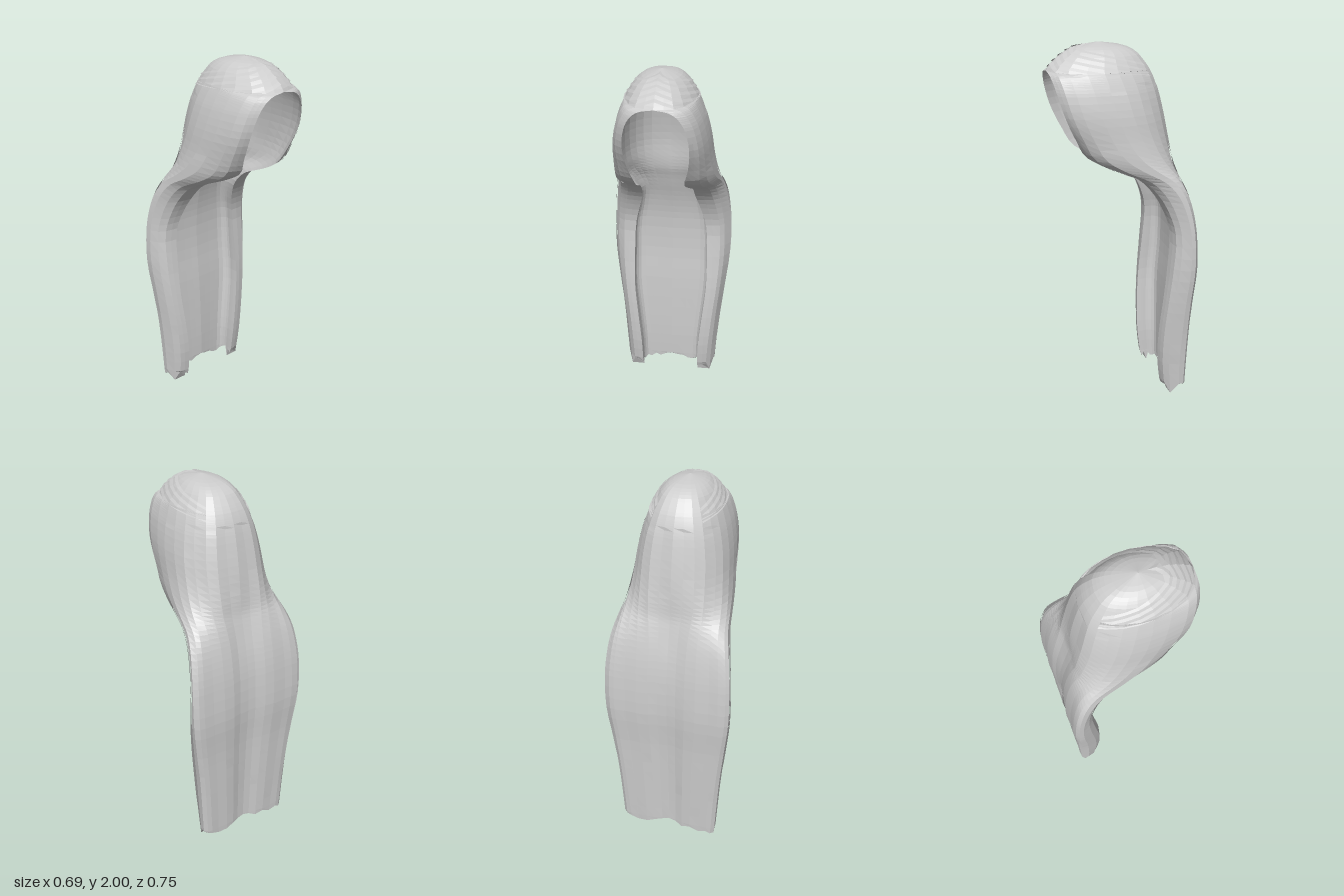
import * as THREE from 'three';

// Levels, bottom to top: y, half width, back z, front z, rim half width, hoodness
const LEVELS = [
  [0.0, 0.272, -0.345, -0.225, 0.17, 0],
  [0.2, 0.285, -0.35, -0.2, 0.175, 0],
  [0.4, 0.3, -0.355, -0.2, 0.195, 0],
  [0.6, 0.322, -0.36, -0.215, 0.215, 0],
  [0.8, 0.345, -0.37, -0.235, 0.215, 0],
  [1.0, 0.345, -0.36, -0.245, 0.205, 0],
  [1.12, 0.335, -0.345, -0.21, 0.175, 0.05],
  [1.22, 0.32, -0.325, -0.15, 0.15, 0.15],
  [1.3, 0.3, -0.305, -0.06, 0.145, 0.4],
  [1.36, 0.286, -0.29, 0.08, 0.14, 0.65],
  [1.42, 0.275, -0.28, 0.19, 0.13, 0.8],
  [1.52, 0.26, -0.26, 0.255, 0.155, 0.95],
  [1.65, 0.246, -0.235, 0.315, 0.168, 1],
  [1.76, 0.223, -0.211, 0.348, 0.15, 1],
  [1.81, 0.206, -0.196, 0.36, 0.125, 1],
  [1.84, 0.194, -0.184, 0.367, 0.095, 1],
  [1.857, 0.186, -0.176, 0.37, 0.055, 1],
  [1.865, 0.182, -0.172, 0.37, 0, 1],
  [1.91, 0.156, -0.14, 0.33, 0, 1],
  [1.95, 0.125, -0.1, 0.275, 0, 1],
  [1.98, 0.08, -0.03, 0.21, 0, 1],
  [2.0, 0.003, 0.09, 0.094, 0, 1],
];
const HALF = 12, N = HALF * 4, STEPS = 3;

function hash(i) {
  const s = Math.sin(i * 127.1 + 3.7) * 43758.5453;
  return s - Math.floor(s);
}

// Points of a half section from the back centre line to the front rim
function halfCurve(points, y) {
  return new THREE.CatmullRomCurve3(points.map(([x, z]) => new THREE.Vector3(x, y, z)))
    .getPoints(HALF);
}

// Closed ring: outer side from rim to rim round the back, then the inner side
function ring(y, [w, b, f, r, h]) {
  w = Math.max(w, 0.003);
  r = Math.max(r, 0);
  h = THREE.MathUtils.clamp(h, 0, 1);
  const d = f - b, mix = (lock, hood) => lock + (hood - lock) * h;
  const Z = (k) => b + k * d;
  // Square-cornered, hollow-backed locks below; a round hood above
  const outer = halfCurve([[0, Z(mix(0.16, 0))], [w * mix(0.35, 0.55), Z(mix(0.02, 0.04))],
    [w * mix(0.8, 0.9), Z(mix(0, 0.24))], [w * mix(0.99, 1), Z(mix(0.14, 0.55))],
    [r + 0.6 * (w - r), Z(mix(0.88, 0.92))], [r, Z(1)]], y);
  const inner = halfCurve([[0, Z(mix(0.34, 0.05))], [mix(r * 0.5, w * 0.48), Z(mix(0.3, 0.09))],
    [mix(r * 0.88, w * 0.8), Z(mix(0.32, 0.27))], [mix(r, w * 0.9), Z(0.55)],
    [mix(r, r + 0.5 * (w - r)), Z(mix(0.8, 0.89))], [r, Z(1)]], y);
  // Shallow strand ridges on the outside
  outer.forEach((p, i) => {
    if (i % 3 === 1 && i < 8 && y < 1.8) p.z += 0.005;
  });
  // Inner ceiling sits below the crown
  const drop = 0.015 * THREE.MathUtils.smoothstep(y, 1.86, 1.95);
  inner.slice(0, HALF).forEach((p) => { p.y -= drop; });
  const flip = (p) => new THREE.Vector3(-p.x, p.y, p.z);
  return [
    ...outer.slice(1).reverse().map(flip), ...outer,
    ...inner.slice(0, HALF).reverse(), ...inner.slice(1, HALF).map(flip),
  ];
}

function buildRings() {
  const ys = LEVELS.map((l) => l[0]);
  const spline = new THREE.CubicInterpolant(ys, LEVELS.flatMap((l) => l.slice(1)), 5, new Float32Array(5));
  const rings = [];
  for (let k = 0; k < ys.length - 1; k++) {
    for (let s = 0; s < STEPS; s++) {
      const y = THREE.MathUtils.lerp(ys[k], ys[k + 1], s / STEPS);
      rings.push(ring(y, Array.from(spline.evaluate(y))));
    }
  }
  rings.push(ring(2, LEVELS[LEVELS.length - 1].slice(1)));
  // Ragged bottom ends, with one long wisp on each side
  rings[0].forEach((p, i) => {
    p.y = 0.025 + hash(i <= N / 2 ? i : N - i) * 0.04;
  });
  for (const i of [3, N / 2 - 3]) rings[0][i].y = rings[0][N - i].y = 0;
  return rings;
}

function meshFrom(name, points, index, material) {
  const geometry = new THREE.BufferGeometry().setFromPoints(points);
  geometry.setIndex(index);
  geometry.computeVertexNormals();
  const mesh = new THREE.Mesh(geometry, material);
  mesh.name = name;
  return mesh;
}

// Thin ribbon through pairs of edge points
function ribbon(name, pairs, material) {
  const faces = [];
  for (let k = 0; k < pairs.length * 2 - 2; k += 2) faces.push(k, k + 2, k + 3, k, k + 3, k + 1);
  return meshFrom(name, pairs.flat(), faces, material);
}

export function createModel() {
  const group = new THREE.Group();
  group.name = 'longHair';
  const hairGrey = new THREE.MeshStandardMaterial({
    name: 'hairGrey', color: 0xcccccc, flatShading: true, side: THREE.DoubleSide,
  });
  const rings = buildRings();

  // Main body of hair: outer shell, inner shell and closed ends
  const index = [];
  for (let j = 0; j < rings.length - 1; j++) {
    for (let i = 0; i < N; i++) {
      const a = j * N + i, b = j * N + (i + 1) % N;
      index.push(a, a + N, b + N, a, b + N, b);
    }
  }
  const top = (rings.length - 1) * N;
  for (let i = 0; i < N / 2; i++) {
    const a = i, b = i + 1, c = N - i - 1, d = (N - i) % N;
    index.push(a, b, c, a, c, d);
    index.push(top + a, top + c, top + b, top + a, top + d, top + c);
  }
  group.add(meshFrom('hairBody', rings.flat(), index, hairGrey));

  // Long overlapping strands laid down the outside
  const strands = new THREE.Group();
  strands.name = 'strands';
  for (let s = 0; s < 11; s++) {
    const col = 2 + s * 2;
    const start = 1 + Math.floor(hash(s + 40) * 8);
    const end = 30 + Math.floor(hash(s + 70) * 13);
    const pairs = [];
    for (let j = start; j <= end; j++) {
      const t = (j - start) / (end - start);
      const lift = 0.007 * Math.sqrt(Math.sin(Math.PI * Math.min(t, 0.999)));
      pairs.push([col, col + 1].map((c) => {
        const out = rings[j][c].clone().sub(rings[j][N - c]).setY(0).normalize();
        return rings[j][c].clone().addScaledVector(out, lift);
      }));
    }
    strands.add(ribbon('strand', pairs, hairGrey));
  }

  // Swept strands from the parting down each side of the crown
  const middle = new THREE.Vector3(0, 1.65, 0);
  for (const start of [53, 55, 57, 59, 61]) {
    for (const mirrored of [false, true]) {
      const pairs = [];
      for (let i = 0; i <= 9; i++) {
        const c = mirrored ? N / 2 - i : i;
        pairs.push([start - i, start - i + 1].map((j, edge) => {
          const p = rings[j][c];
          const out = p.clone().sub(middle).normalize();
          return p.clone().addScaledVector(out, edge ? 0.001 : 0.006);
        }));
      }
      strands.add(ribbon('crownStrand', pairs, hairGrey));
    }
  }
  group.add(strands);
  return group;
}
